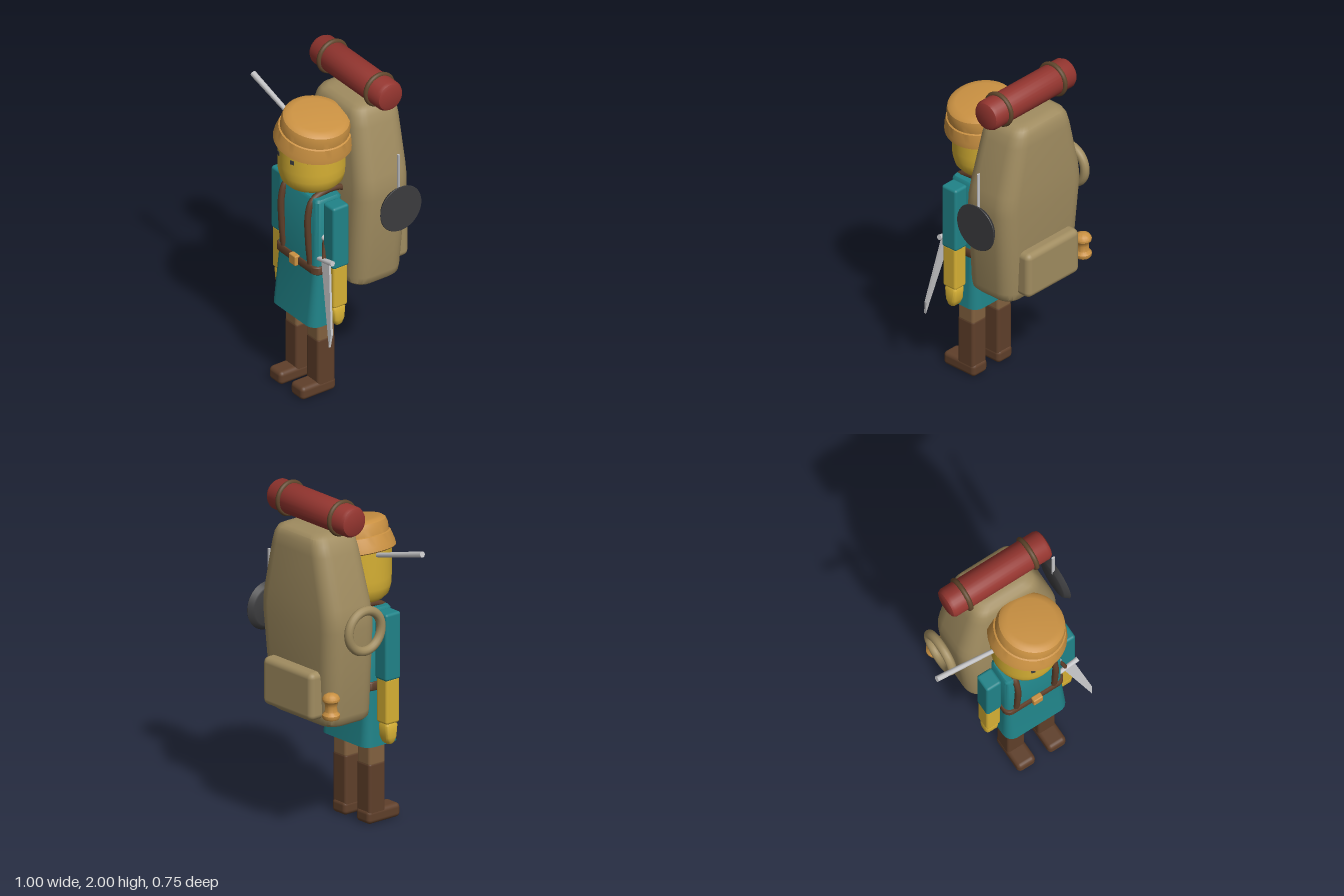
import * as THREE from 'three';
import { toCreasedNormals } from 'three/addons/utils/BufferGeometryUtils.js';
import { RoundedBoxGeometry } from 'three/addons/geometries/RoundedBoxGeometry.js';

const mat = (name, color, side = THREE.FrontSide) => {
  const m = new THREE.MeshStandardMaterial({ color, side });
  m.name = name;
  return m;
};

// Rounded-rectangle cross-sections stacked upward; each level: [y, cx, cz, halfWidth, halfDepth, cornerRadius]
function loft(levels, capBottom = true, capTop = true) {
  const pos = [], idx = [], steps = 6, n = 4 * (steps + 1);
  for (const [y, cx, cz, hw, hd, r] of levels) {
    for (let c = 0; c < 4; c++) {
      const sx = c === 0 || c === 3 ? 1 : -1, sz = c < 2 ? -1 : 1;
      for (let s = 0; s <= steps; s++) {
        const a = (c + s / steps) * Math.PI / 2;
        pos.push(cx + sx * (hw - r) + r * Math.cos(a), y, cz + sz * (hd - r) - r * Math.sin(a));
      }
    }
  }
  for (let l = 0; l < levels.length - 1; l++) {
    for (let i = 0; i < n; i++) {
      const a = l * n + i, b = l * n + (i + 1) % n;
      idx.push(a, b, b + n, a, b + n, a + n);
    }
  }
  const cap = (l, up) => {
    const [y, cx, cz] = levels[l], centre = pos.length / 3;
    pos.push(cx, y, cz);
    for (let i = 0; i < n; i++) {
      const a = l * n + i, b = l * n + (i + 1) % n;
      if (up) idx.push(centre, a, b); else idx.push(centre, b, a);
    }
  };
  if (capBottom) cap(0, false);
  if (capTop) cap(levels.length - 1, true);
  const g = new THREE.BufferGeometry();
  g.setAttribute('position', new THREE.Float32BufferAttribute(pos, 3));
  g.setIndex(idx);
  return toCreasedNormals(g, 0.7);
}

const lathe = (pts, seg = 40) =>
  toCreasedNormals(new THREE.LatheGeometry(pts.map(p => new THREE.Vector2(...p)), seg), 0.6);

export function createModel() {
  const model = new THREE.Group();
  model.name = 'backpacker';

  const teal = mat('teal cloth', 0x208388, THREE.DoubleSide);
  const yellow = mat('yellow skin', 0xd6b034);
  const copper = mat('copper', 0xca9142, THREE.DoubleSide);
  const boot = mat('boot brown', 0x5f3f2a);
  const trouser = mat('trouser brown', 0x82613f);
  const tan = mat('tan canvas', 0xa08c60);
  const red = mat('red blanket', 0x94352f);
  const iron = mat('dark iron', 0x3c3c3e);
  const steel = mat('steel', 0xc6c6c8);
  const strapMat = mat('strap brown', 0x60452b);

  const add = (name, geo, material, x = 0, y = 0, z = 0, parent = model) => {
    const m = new THREE.Mesh(geo, material);
    m.name = name;
    m.position.set(x, y, z);
    parent.add(m);
    return m;
  };
  // Rounded box given by its limits
  const box = (name, material, [x0, x1], [y0, y1], [z0, z1], r) =>
    add(name, new RoundedBoxGeometry(x1 - x0, y1 - y0, z1 - z0, 3, r), material,
      (x0 + x1) / 2, (y0 + y1) / 2, (z0 + z1) / 2);
  // Straight rod between two points
  const rod = (name, material, a, b, ra, rb, seg = 8) => {
    const A = new THREE.Vector3(...a), B = new THREE.Vector3(...b), d = B.clone().sub(A);
    const m = add(name, new THREE.CylinderGeometry(rb, ra, d.length(), seg), material);
    m.position.copy(A).add(B).multiplyScalar(0.5);
    m.quaternion.setFromUnitVectors(new THREE.Vector3(0, 1, 0), d.normalize());
    return m;
  };

  const CX = 0.08;

  // Tunic with an open flared skirt
  add('tunic', loft([
    [0.475, CX, 0.165, 0.203, 0.125, 0.06],
    [0.83, CX, 0.158, 0.187, 0.094, 0.04],
    [1.265, CX, 0.158, 0.186, 0.088, 0.03],
    [1.28, CX, 0.158, 0.175, 0.078, 0.025],
  ], false, true), teal);
  add('belt', loft([
    [0.806, CX, 0.158, 0.194, 0.102, 0.045],
    [0.812, CX, 0.158, 0.198, 0.107, 0.045],
    [0.85, CX, 0.158, 0.198, 0.107, 0.045],
    [0.857, CX, 0.158, 0.194, 0.102, 0.045],
  ]), boot);
  box('buckle', copper, [0.05, 0.112], [0.802, 0.866], [0.25, 0.286], 0.008);

  // Legs, arms and shoulder straps, one per side
  for (const s of [-1, 1]) {
    const side = s > 0 ? 'left' : 'right';
    const lx = CX + s * 0.102, ax = CX + s * 0.246, sx = CX + s * 0.125;
    box(side + 'Trouser', trouser, [lx - 0.056, lx + 0.056], [0.34, 0.7], [0.1, 0.219], 0.018);
    box(side + 'Boot', boot, [lx - 0.057, lx + 0.057], [0.02, 0.362], [0.099, 0.22], 0.018);
    box(side + 'Foot', boot, [lx - 0.059, lx + 0.059], [0, 0.083], [0.092, 0.33], 0.026);
    box(side + 'Sleeve', teal, [ax - 0.05, ax + 0.05], [0.88, 1.278], [0.103, 0.214], 0.016);
    box(side + 'Forearm', yellow, [ax - 0.046, ax + 0.046], [0.622, 0.895], [0.11, 0.209], 0.016);
    add(side + 'Hand', loft([
      [0.498, ax, 0.16, 0.025, 0.014, 0.012], [0.51, ax, 0.16, 0.036, 0.026, 0.02],
      [0.54, ax, 0.16, 0.041, 0.037, 0.02], [0.61, ax, 0.16, 0.042, 0.043, 0.02],
      [0.63, ax, 0.16, 0.032, 0.034, 0.02],
    ]), yellow);
    const path = new THREE.CatmullRomCurve3([
      [0.248, 0.86], [0.262, 1.0], [0.264, 1.18], [0.235, 1.26], [0.17, 1.29], [0.06, 1.29], [-0.02, 1.25],
    ].map(([z, y]) => new THREE.Vector3(sx, y, z)));
    add(side + 'ShoulderStrap', new THREE.TubeGeometry(path, 40, 0.019, 8), boot);
  }

  // Head
  add('head', lathe([[0, 1.295], [0.11, 1.297], [0.15, 1.31], [0.178, 1.34], [0.191, 1.39],
    [0.193, 1.44], [0.193, 1.64], [0, 1.66]]), yellow, CX, 0, 0.145);
  for (const s of [-1, 1]) {
    const eye = add(s > 0 ? 'leftEye' : 'rightEye', new THREE.BoxGeometry(0.024, 0.024, 0.008), iron,
      CX + s * 0.063, 1.512, 0.328);
    eye.rotation.y = s * 0.33;
  }

  // Cooking pot worn as a hat, with a long handle
  const pot = add('potHat', lathe([[0.2, 0.01], [0.219, 0], [0.226, 0.006], [0.222, 0.035], [0.206, 0.09],
    [0.197, 0.094], [0.196, 0.135], [0.188, 0.162], [0.17, 0.176], [0.14, 0.181], [0, 0.182]], 48),
  copper, 0.093, 1.575, 0.148);
  pot.rotation.z = -0.2;
  rod('potHandle', steel, [-0.496, 1.708, 0.128], [-0.09, 1.595, 0.13], 0.018, 0.013);

  // Backpack with pocket
  add('backpack', loft([
    [0.675, 0.083, -0.125, 0.23, 0.115, 0.07],
    [0.682, 0.083, -0.125, 0.258, 0.145, 0.08],
    [0.7, 0.083, -0.125, 0.276, 0.163, 0.09],
    [0.74, 0.083, -0.126, 0.285, 0.17, 0.1],
    [1.25, 0.083, -0.14, 0.323, 0.177, 0.1],
    [1.32, 0.083, -0.143, 0.322, 0.176, 0.1],
    [1.39, 0.083, -0.146, 0.31, 0.174, 0.1],
    [1.68, 0.084, -0.158, 0.238, 0.161, 0.09],
    [1.74, 0.085, -0.16, 0.217, 0.154, 0.08],
    [1.775, 0.086, -0.162, 0.195, 0.138, 0.07],
    [1.79, 0.087, -0.163, 0.165, 0.11, 0.06],
    [1.795, 0.087, -0.163, 0.13, 0.08, 0.05],
  ]), tan);
  box('pocket', tan, [-0.13, 0.292], [0.73, 1.012], [-0.375, -0.25], 0.035);

  // Bedroll with two straps
  const roll = add('bedroll', lathe([[0, -0.335], [0.062, -0.335], [0.08, -0.327], [0.09, -0.308],
    [0.09, 0.308], [0.08, 0.327], [0.062, 0.335], [0, 0.335]], 32), red, 0.081, 1.894, -0.157);
  roll.rotation.z = Math.PI / 2;
  for (const x of [-0.14, 0.3]) {
    const ring = add('bedrollStrap', new THREE.TorusGeometry(0.091, 0.015, 10, 36), strapMat, x, 1.894, -0.157);
    ring.rotation.y = Math.PI / 2;
  }

  // Frying pan on the left of the pack
  const pan = add('fryingPan', lathe([[0, 0], [0.112, 0], [0.122, 0.004], [0.142, 0.03], [0.14, 0.034], [0, 0.034]]),
    iron, 0.465, 1.21, -0.163);
  pan.rotation.z = -Math.PI / 2;
  const panHandle = rod('panHandle', steel, [0.473, 1.3, -0.163], [0.473, 1.55, -0.163], 0.011, 0.011);
  panHandle.scale.z = 0.55;

  // Rope coil and flask on the right of the pack
  const coil = add('ropeCoil', new THREE.TorusGeometry(0.118, 0.027, 12, 40), tan, -0.303, 1.263, -0.128);
  coil.rotation.y = Math.PI / 2;
  add('flask', lathe([[0, 0.765], [0.044, 0.765], [0.05, 0.775], [0.05, 0.79], [0.036, 0.808], [0.033, 0.84],
    [0.038, 0.86], [0.049, 0.872], [0.05, 0.885], [0.04, 0.903], [0.02, 0.914], [0, 0.916]], 24),
  copper, -0.222, 0, -0.307);

  // Sword hanging beside the left arm
  const outline = new THREE.Shape([[0.285, 0.91], [0.358, 0.91], [0.441, 0.51], [0.434, 0.43]]
    .map(([x, y]) => new THREE.Vector2(x, y - 0.92)).reverse());
  const bladeGeo = new THREE.ExtrudeGeometry(outline, { depth: 0.014, bevelEnabled: false });
  const blade = add('swordBlade', bladeGeo, steel, 0, 0.92, 0.217);
  blade.rotation.x = -0.12;
  rod('swordGuard', steel, [0.25, 0.908, 0.228], [0.382, 0.932, 0.224], 0.014, 0.016);
  rod('swordGrip', boot, [0.3, 0.92, 0.225], [0.272, 1.03, 0.2], 0.012, 0.012);
  add('swordPommel', new THREE.SphereGeometry(0.018, 12, 8), steel, 0.27, 1.04, 0.2);

  return model;
}
